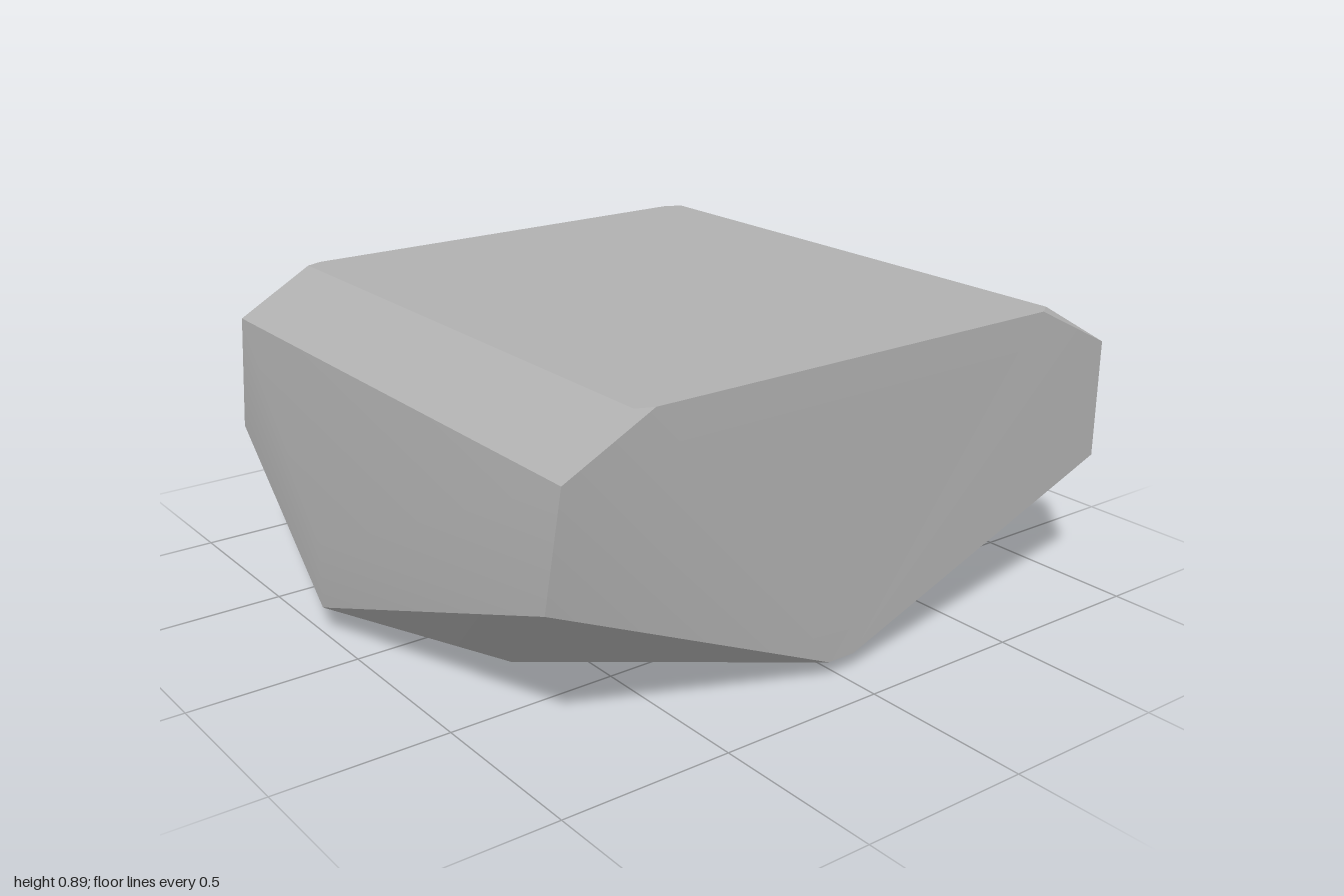
import * as THREE from 'three';
import { ConvexGeometry } from 'three/addons/geometries/ConvexGeometry.js';
import { toCreasedNormals } from 'three/addons/utils/BufferGeometryUtils.js';

export function createModel() {
  const group = new THREE.Group();
  group.name = 'rock';
  const stoneGrey = new THREE.MeshStandardMaterial({ color: 0xb0b0b0 });
  stoneGrey.name = 'stoneGrey';

  const points = [];
  const add = (x, y, z) => points.push(new THREE.Vector3(x, y, z));

  // Top plate, bevelled shoulders and flat right side, mirrored front to back
  for (const s of [1, -1]) {
    add(-0.62, 0.895, s * 0.86);
    add(-0.67, 0.895, s * 0.84);
    add(0.73, 0.895, s * 0.86);
    add(0.775, 0.895, s * 0.83);
    add(-0.89, 0.76, s * 0.86);
    add(1, 0.76, s * 0.86);
    add(1, 0.41, s * 0.86);
    // Small flat underside
    add(1, 0, s * 0.265);
    add(-0.67, 0, s * 0.27);
  }

  // Bulging left side
  add(-0.91, 0.42, 0.81);
  add(-0.91, 0.42, -0.86);
  add(-1, 0.27, -0.2);
  add(-1, 0.08, -0.2);

  // Low front lip
  add(-0.04, 0.05, 0.865);
  add(0.05, 0.05, 0.865);

  // Rounded lower back
  add(0.88, 0.21, -0.64);
  add(-0.72, 0.21, -0.64);

  const body = new THREE.Mesh(toCreasedNormals(new ConvexGeometry(points), 0.4), stoneGrey);
  body.name = 'rockBody';
  group.add(body);
  return group;
}
